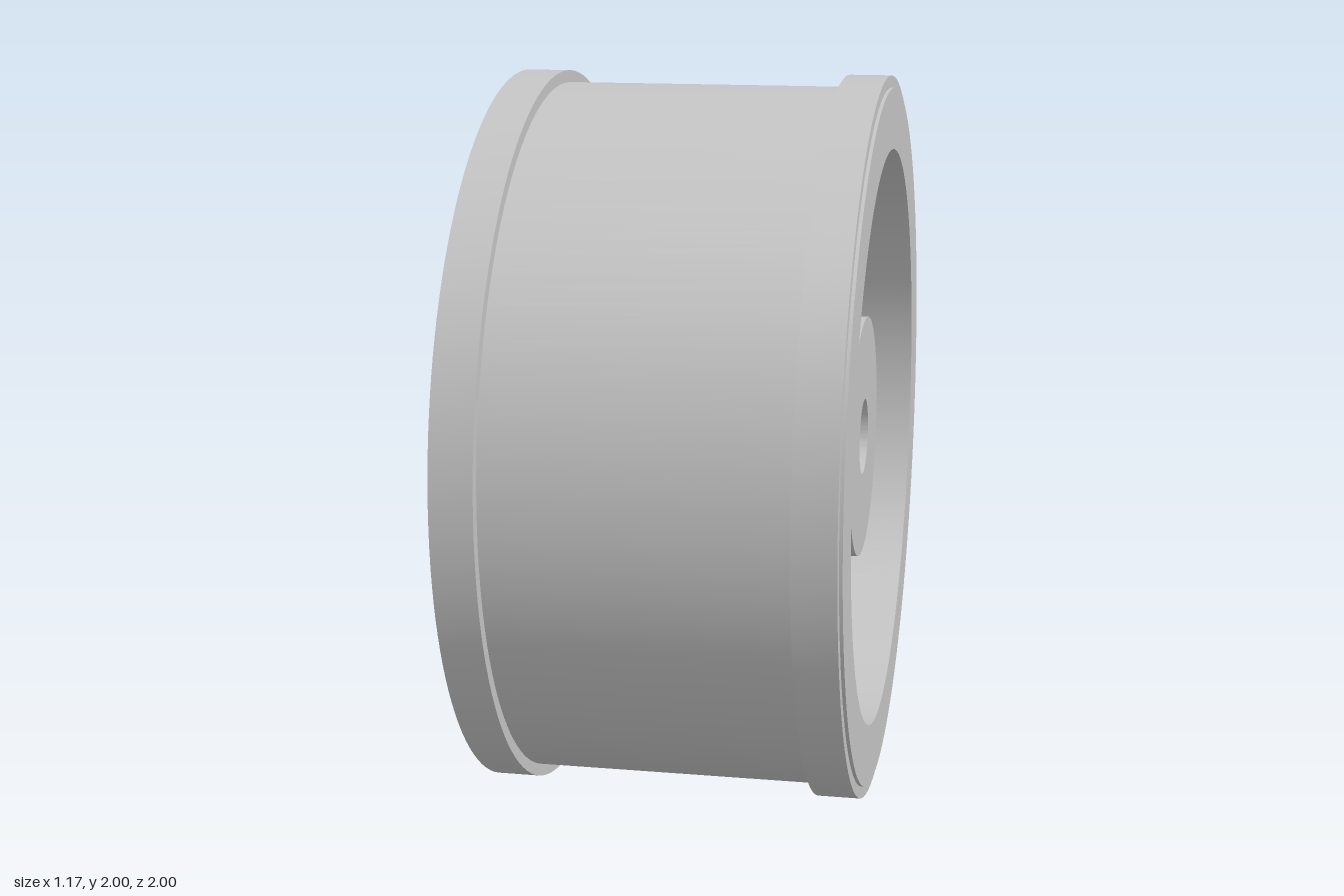
import * as THREE from 'three';
import { toCreasedNormals } from 'three/addons/utils/BufferGeometryUtils.js';

const RIM = 0.967, FLANGE = 1, CAVITY = 0.8, HUB = 0.335, BORE = 0.105;
const BACK = -0.45, FRONT = 0.583, WEB = -0.12, POCKET_FLOOR = -0.32;

export function createModel() {
  const metal = new THREE.MeshStandardMaterial({ color: 0xc4c4c4 });
  metal.name = 'grey metal';

  const wheel = new THREE.Group();
  wheel.name = 'wheel';
  wheel.position.y = 1;

  const add = (name, geometry) => {
    const mesh = new THREE.Mesh(toCreasedNormals(geometry, 0.5), metal);
    mesh.name = name;
    wheel.add(mesh);
  };

  // Turned part from a closed [radius, x] profile around the x axis
  const turned = (name, profile) => {
    const points = [...profile, profile[0]].map(([r, x]) => new THREE.Vector2(r, x));
    add(name, new THREE.LatheGeometry(points, 128).rotateZ(-Math.PI / 2));
  };

  // Flat shape in the zy plane, extruded from x0 to x1
  const extruded = (name, shape, x0, x1) => {
    const geometry = new THREE.ExtrudeGeometry(shape, {
      depth: x1 - x0, bevelEnabled: false, curveSegments: 64,
    });
    add(name, geometry.rotateY(Math.PI / 2).translate(x0, 0, 0));
  };

  const circle = (x, y, r) => new THREE.Path().absarc(x, y, r, 0, Math.PI * 2, true);

  // Drum with two raised flanges and a closed back
  turned('rim', [
    [HUB - 0.02, BACK], [RIM, BACK], [RIM, -0.443],
    [FLANGE, -0.443], [FLANGE, -0.328], [RIM, -0.328],
    [RIM, 0.459], [FLANGE, 0.459], [FLANGE, 0.574], [RIM, 0.574],
    [RIM, FRONT], [CAVITY, FRONT], [CAVITY, POCKET_FLOOR], [HUB - 0.02, POCKET_FLOOR],
  ]);

  // Web with six round blind pockets
  const web = new THREE.Shape().absarc(0, 0, CAVITY + 0.01, 0, Math.PI * 2, false);
  web.holes.push(circle(0, 0, HUB - 0.02));
  for (let i = 0; i < 6; i++) {
    const a = (i * Math.PI) / 3;
    web.holes.push(circle(0.57 * Math.cos(a), 0.57 * Math.sin(a), 0.164));
  }
  extruded('web', web, POCKET_FLOOR, WEB);

  // Hub with a round bore
  turned('hub', [[BORE, -0.59], [HUB, -0.59], [HUB, 0.525], [BORE, 0.525]]);

  // Flat inside the bore, keying the shaft
  const half = Math.acos(0.075 / BORE);
  const key = new THREE.Shape().absarc(0, 0, BORE, Math.PI / 2 - half, Math.PI / 2 + half, false);
  key.closePath();
  extruded('boreFlat', key, -0.45, 0.42);

  const model = new THREE.Group();
  model.name = 'flangedWheel';
  model.add(wheel);
  return model;
}
